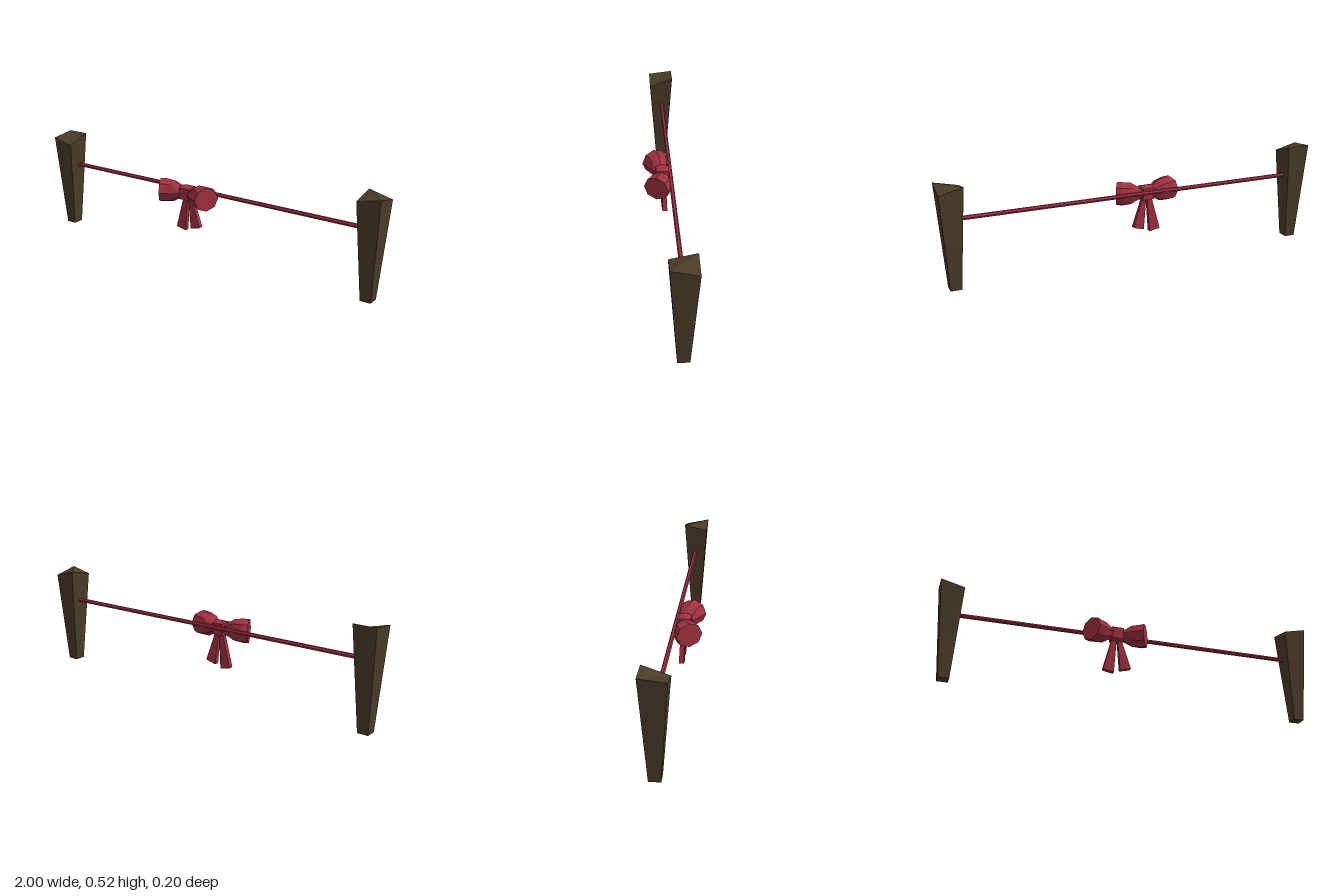
import * as THREE from 'three';

const wood = new THREE.MeshStandardMaterial({ color: 0x4a3c28, flatShading: true });
const red = new THREE.MeshStandardMaterial({ color: 0xa03040, flatShading: true });
const V = (x, y, z) => new THREE.Vector3(x, y, z);

// Closed skin through rings of points, counter-clockwise seen from the last ring
function loft(rings) {
  const pts = [];
  const n = rings[0].length;
  for (let r = 0; r < rings.length - 1; r++) {
    for (let i = 0; i < n; i++) {
      const j = (i + 1) % n;
      const a = rings[r][i], b = rings[r][j], c = rings[r + 1][j], d = rings[r + 1][i];
      pts.push(a, b, c, a, c, d);
    }
  }
  const first = rings[0], last = rings[rings.length - 1];
  for (let i = 1; i < n - 1; i++) {
    pts.push(first[0], first[i + 1], first[i]);
    pts.push(last[0], last[i], last[i + 1]);
  }
  const g = new THREE.BufferGeometry().setFromPoints(pts);
  g.computeVertexNormals();
  return g;
}

// Four corners: right front, right back, left back, left front
function quad(x0, x1, z0, z1, ys) {
  return [V(x1, ys[0], z1), V(x1, ys[1], z0), V(x0, ys[2], z0), V(x0, ys[3], z1)];
}

export function createModel() {
  const group = new THREE.Group();
  const add = (name, geometry, material) => {
    const mesh = new THREE.Mesh(geometry, material);
    mesh.name = name;
    group.add(mesh);
    return mesh;
  };

  // Tapered posts with unevenly cut tops
  const posts = [
    ['rightPost', -0.94, [0.48, 0.525, 0.525, 0.51]],
    ['leftPost', 0.94, [0.525, 0.495, 0.525, 0.498]],
  ];
  for (const [name, x, tops] of posts) {
    add(name, loft([
      quad(x - 0.028, x + 0.028, -0.065, -0.007, [0, 0, 0, 0]),
      quad(x - 0.06, x + 0.06, -0.1, 0.03, tops),
    ]), wood);
  }

  // Rope between the posts
  const rope = add('rope', new THREE.CylinderGeometry(0.011, 0.011, 1.8, 6), red);
  rope.rotation.z = Math.PI / 2;
  rope.position.set(0, 0.355, -0.04);

  // Bow loops: octagonal rings growing from the knot to a flat outer end
  const bowX = -0.085, bowY = 0.346;
  // offset from knot, z, half width, half height, tilt
  const loopRings = [
    [0.03, 0.004, 0.04, 0.025, 0.1],
    [0.08, 0.013, 0.057, 0.058, 0.3],
    [0.123, 0.023, 0.068, 0.063, 0.44],
    [0.146, 0.04, 0.068, 0.063, 0.48],
  ];
  for (const side of [-1, 1]) {
    const rings = loopRings.map(([off, z, w, h, tilt]) =>
      Array.from({ length: 8 }, (_, i) => {
        const t = (i / 8) * Math.PI * 2;
        const u = Math.cos(t) * w;
        return V(
          bowX + side * (off - u * Math.sin(tilt)),
          bowY + Math.sin(t) * h,
          z + u * Math.cos(tilt)
        );
      }));
    if (side > 0) rings.reverse();
    add(side < 0 ? 'rightBowLoop' : 'leftBowLoop', loft(rings), red);
  }

  // Knot, slightly narrowed towards its front and back
  const knot = new THREE.BoxGeometry(0.07, 0.072, 0.068, 1, 1, 3);
  const p = knot.attributes.position;
  for (let i = 0; i < p.count; i++) {
    if (Math.abs(p.getZ(i)) > 0.03) {
      p.setX(i, p.getX(i) * 0.85);
      p.setY(i, p.getY(i) * 0.85);
    }
  }
  knot.computeVertexNormals();
  add('knot', knot, red).position.set(bowX, bowY, 0);

  // Ribbon tails widening downwards
  const tails = [
    ['rightTail', [-0.155, -0.098, 0.135, 0.148], [-0.108, -0.084]],
    ['leftTail', [-0.064, -0.007, 0.167, 0.152], [-0.08, -0.06]],
  ];
  for (const [name, [x0, x1, yr, yl], [t0, t1]] of tails) {
    add(name, loft([
      quad(x0, x1, -0.022, 0.004, [yr, yr, yl, yl]),
      quad(t0, t1, -0.016, 0.004, [0.325, 0.325, 0.325, 0.325]),
    ]), red);
  }

  return group;
}
